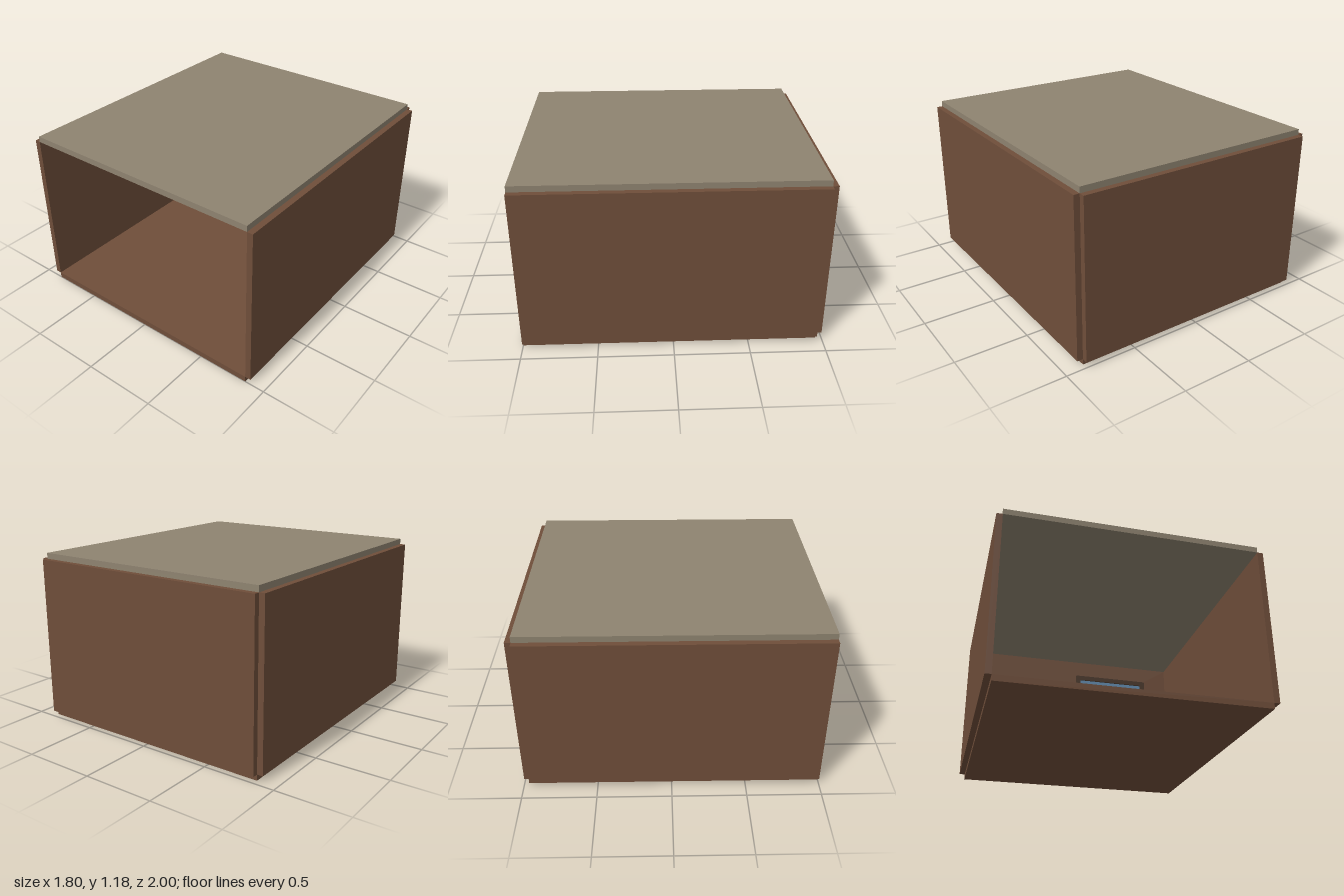
import * as THREE from 'three';

const material = (name, color) => {
  const m = new THREE.MeshStandardMaterial({ color });
  m.name = name;
  return m;
};

export function createModel() {
  const room = new THREE.Group();
  room.name = 'room';
  const brown = material('brown wood', 0x6f4e3a);
  const taupe = material('taupe ceiling', 0x8e8370);
  const darkWood = material('dark frame wood', 0x4a382b);
  const blue = material('blue glass', 0x628aad);

  // Box given by its minimum and maximum corners
  const slab = (name, mat, [x0, y0, z0], [x1, y1, z1], parent = room) => {
    const mesh = new THREE.Mesh(new THREE.BoxGeometry(x1 - x0, y1 - y0, z1 - z0), mat);
    mesh.position.set((x0 + x1) / 2, (y0 + y1) / 2, (z0 + z1) / 2);
    mesh.name = name;
    parent.add(mesh);
  };

  // Shell panels, open at the front
  slab('floor', brown, [-0.86, 0, -0.96], [0.86, 0.04, 1]);
  slab('ceiling', taupe, [-0.86, 1.14, -0.96], [0.86, 1.18, 1]);
  slab('leftWall', brown, [0.86, 0.04, -0.96], [0.9, 1.14, 1]);
  slab('rightWall', brown, [-0.9, 0.04, -0.96], [-0.86, 1.14, 1]);
  slab('backWall', brown, [-0.86, 0.04, -1], [0.86, 1.14, -0.96]);

  // Window on the inside of the back wall
  const window = new THREE.Group();
  window.name = 'window';
  room.add(window);
  const z0 = -0.96, z1 = -0.94;
  slab('frameBottom', darkWood, [0.04, 0.455, z0], [0.66, 0.492, z1], window);
  slab('frameTop', darkWood, [0.04, 0.967, z0], [0.66, 1.005, z1], window);
  slab('frameRight', darkWood, [0.04, 0.492, z0], [0.078, 0.967, z1], window);
  slab('frameLeft', darkWood, [0.622, 0.492, z0], [0.66, 0.967, z1], window);
  slab('glass', blue, [0.078, 0.492, z0], [0.622, 0.967, z0 + 0.009], window);

  return room;
}
